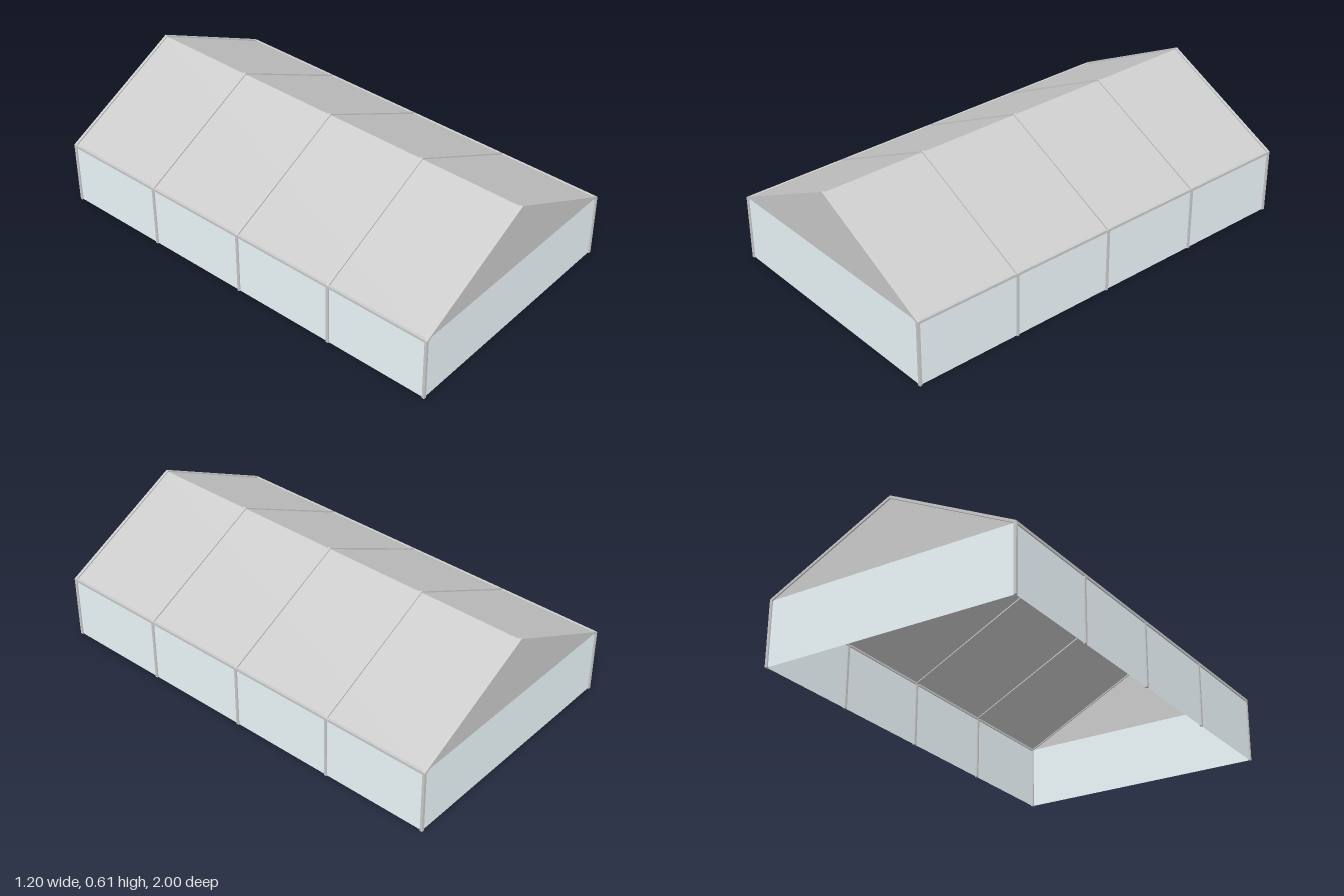
import * as THREE from 'three';

const W = 0.6, EAVE = 0.305, RIDGE = 0.605, L = 1, T = 0.012, BAYS = 4;

export function createModel() {
  const tent = new THREE.Group();
  tent.name = 'frameTent';
  const frameMat = new THREE.MeshStandardMaterial({ color: 0xcccccc, flatShading: true });
  const clothMat = new THREE.MeshStandardMaterial({ color: 0xcccccc, flatShading: true, side: THREE.DoubleSide });
  const wallMat = new THREE.MeshStandardMaterial({ color: 0xeef9fc, flatShading: true, side: THREE.DoubleSide });

  const add = (name, geometry, material, x = 0, y = 0, z = 0) => {
    const mesh = new THREE.Mesh(geometry, material);
    mesh.name = name;
    mesh.position.set(x, y, z);
    tent.add(mesh);
    return mesh;
  };
  const outline = (points) => new THREE.Shape(points.map(([x, y]) => new THREE.Vector2(x, y)));

  // Portal frames: two posts and two rafters in one bent outline
  const inner = W - T, drop = 0.013;
  const portal = outline([
    [-W, 0], [-inner, 0], [-inner, EAVE - drop + T / 2], [0, RIDGE - drop],
    [inner, EAVE - drop + T / 2], [inner, 0], [W, 0], [W, EAVE], [0, RIDGE], [-W, EAVE],
  ]);
  const portalGeometry = new THREE.ExtrudeGeometry(portal, { depth: T, bevelEnabled: false });
  portalGeometry.translate(0, 0, -T / 2);
  const end = L - T / 2;
  for (let i = 0; i <= BAYS; i++) {
    add('portalFrame', portalGeometry, frameMat, 0, 0, -end + (2 * end * i) / BAYS);
  }

  // Fabric planes run along the middle of the frame members
  const wallX = W - T / 2, wallTop = 0.3, apex = 0.599;
  const slope = Math.hypot(wallX, apex - wallTop);
  for (const side of [-1, 1]) {
    add('eaveBeam', new THREE.BoxGeometry(T, T, 2 * end), frameMat, side * wallX, 0.299, 0);

    const wall = add('sideWall', new THREE.PlaneGeometry(2 * end, wallTop), wallMat, side * wallX, wallTop / 2, 0);
    wall.rotation.y = side * Math.PI / 2;

    const roofGeometry = new THREE.PlaneGeometry(slope, 2 * end).rotateX(-Math.PI / 2);
    const roof = add('roofSlope', roofGeometry, clothMat, side * wallX / 2, (wallTop + apex) / 2, 0);
    roof.rotation.z = -side * Math.atan2(apex - wallTop, wallX);

    // End wall and gable above it
    const endWall = add('endWall', new THREE.PlaneGeometry(2 * wallX, wallTop), wallMat, 0, wallTop / 2, side * end);
    const gableShape = outline([[-wallX, wallTop], [wallX, wallTop], [0, apex]]);
    const gable = add('gable', new THREE.ShapeGeometry(gableShape), clothMat, 0, 0, side * end);
    if (side < 0) endWall.rotation.y = gable.rotation.y = Math.PI;
  }
  return tent;
}
